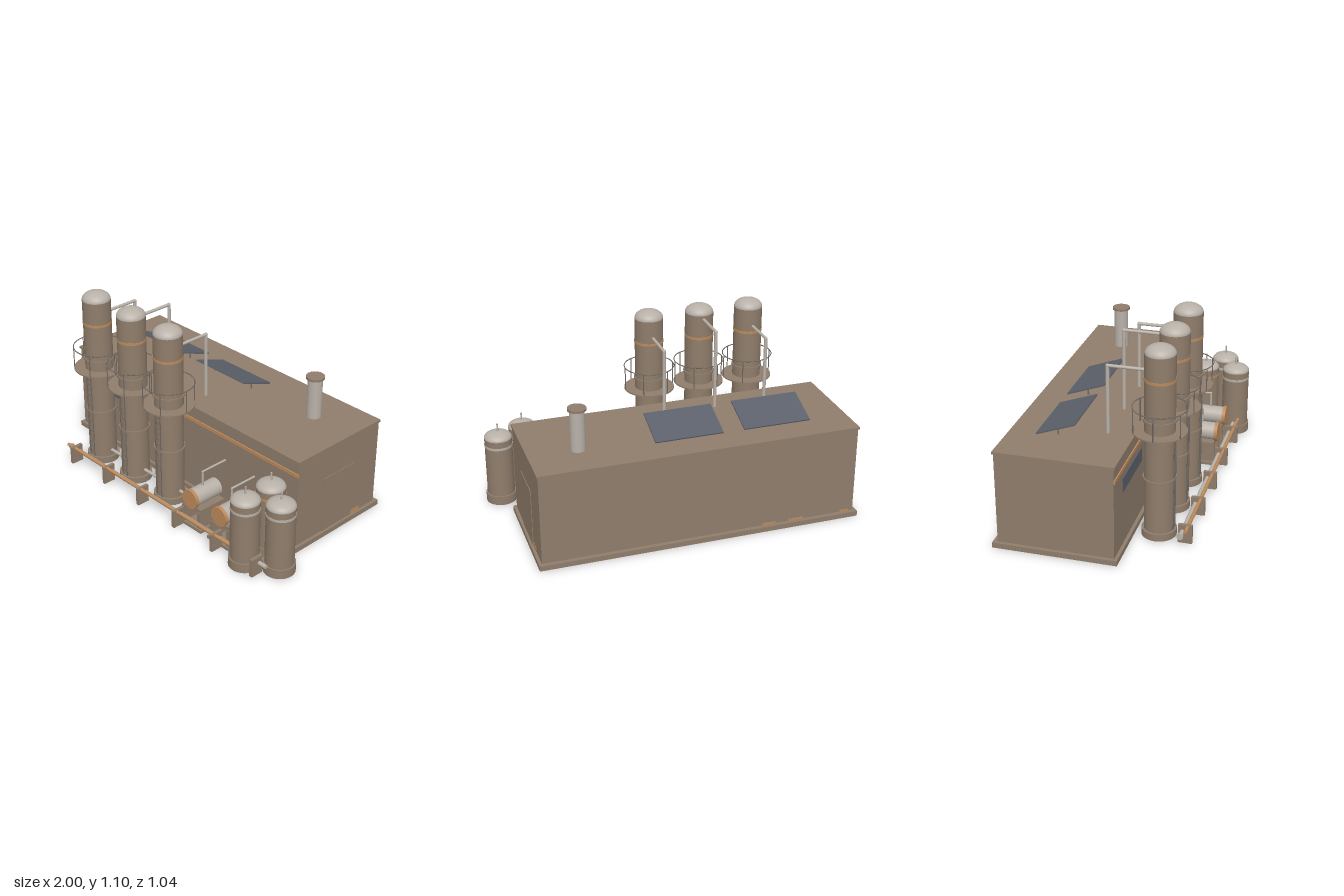
import * as THREE from 'three';

const mat = (name, color, side = THREE.FrontSide) => {
  const m = new THREE.MeshStandardMaterial({ color, side });
  m.name = name;
  return m;
};

export function createModel() {
  const brown = mat('weathered brown', 0x8f7d6b);
  const metal = mat('pale metal', 0xb8b1a8);
  const rust = mat('rust orange', 0xbd8a5a);
  const glass = mat('blue grey glass', 0x5c606a);
  const steel = mat('dark steel', 0x706a64);

  const model = new THREE.Group();
  model.name = 'processingPlant';

  const group = (name, x = 0, z = 0) => {
    const g = new THREE.Group();
    g.name = name;
    g.position.set(x, 0, z);
    model.add(g);
    return g;
  };
  const add = (parent, name, geo, m, x = 0, y = 0, z = 0) => {
    const mesh = new THREE.Mesh(geo, m);
    mesh.name = name;
    mesh.position.set(x, y, z);
    parent.add(mesh);
    return mesh;
  };
  // Box given by its limits on each axis
  const box = (parent, name, m, x0, x1, y0, y1, z0, z1) =>
    add(parent, name, new THREE.BoxGeometry(x1 - x0, y1 - y0, z1 - z0), m,
      (x0 + x1) / 2, (y0 + y1) / 2, (z0 + z1) / 2);
  // Upright cylinder between two heights
  const drum = (parent, name, m, r, y0, y1, x = 0, z = 0, sides = 32) =>
    add(parent, name, new THREE.CylinderGeometry(r, r, y1 - y0, sides), m, x, (y0 + y1) / 2, z);
  // Round bar between two points
  const bar = (parent, name, m, r, a, b, sides = 12) => {
    const from = new THREE.Vector3(...a), to = new THREE.Vector3(...b);
    const dir = to.clone().sub(from);
    const mesh = add(parent, name, new THREE.CylinderGeometry(r, r, dir.length(), sides), m);
    mesh.position.copy(from).add(to).multiplyScalar(0.5);
    mesh.quaternion.setFromUnitVectors(new THREE.Vector3(0, 1, 0), dir.normalize());
    return mesh;
  };
  const dome = (parent, r, h, y) => {
    const geo = new THREE.SphereGeometry(r, 32, 10, 0, Math.PI * 2, 0, Math.PI / 2);
    geo.scale(1, h / r, 1);
    return add(parent, 'dome', geo, metal, 0, y, 0);
  };

  // Building
  const hall = group('building');
  box(hall, 'plinth', brown, -1, 0.875, 0, 0.03, -0.52, 0.167);
  box(hall, 'walls', brown, -0.98, 0.857, 0.03, 0.55, -0.495, 0.148);
  box(hall, 'roof', brown, -0.987, 0.863, 0.55, 0.564, -0.502, 0.155);
  box(hall, 'wallStripe', rust, -0.98, 0.86, 0.466, 0.486, 0.147, 0.155);
  box(hall, 'window', glass, -0.825, -0.457, 0.34, 0.42, 0.146, 0.153);
  box(hall, 'door', brown, 0.854, 0.861, 0.03, 0.37, -0.295, -0.052);

  // Rust patches along the foot of the walls
  for (const [x0, x1, h] of [[0.15, 0.25, 0.025], [0.38, 0.46, 0.03], [-0.25, -0.16, 0.025]])
    box(hall, 'frontRust', rust, x0, x1, 0.03, 0.03 + h, 0.147, 0.15);
  for (const [x0, x1] of [[-0.95, -0.9], [-0.67, -0.58], [-0.5, -0.42]])
    box(hall, 'backRust', rust, x0, x1, 0.03, 0.042, -0.497, -0.494);
  box(hall, 'sideRust', rust, 0.856, 0.859, 0.03, 0.053, -0.37, -0.297);

  // Chimney
  const chimney = group('chimney', 0.58, -0.265);
  drum(chimney, 'stack', metal, 0.042, 0.56, 0.802);
  drum(chimney, 'cap', brown, 0.052, 0.8, 0.814);

  // Tilted roof panels
  for (const x of [-0.552, -0.032]) {
    const g = group('roofPanel', x, -0.237);
    const panel = add(g, 'panel', new THREE.BoxGeometry(0.396, 0.008, 0.229), glass, 0, 0.614, 0);
    panel.rotation.x = -Math.atan2(0.078, 0.216);
    for (const s of [-1, 1]) drum(g, 'panelPost', steel, 0.005, 0.56, 0.612, s * 0.15, 0, 8);
  }

  // Tall columns with platforms, ladders and overhead pipes
  [-0.615, -0.308, 0].forEach((x, i) => {
    const g = group('column', x, 0.292);
    drum(g, 'shell', brown, 0.083, 0.03, 1.05);
    dome(g, 0.083, 0.05, 1.05);
    drum(g, 'foot', brown, 0.096, 0, 0.04);
    drum(g, 'lowerBand', brown, 0.09, 0.34, 0.35);
    drum(g, 'upperBand', brown, 0.09, 0.675, 0.687);
    drum(g, 'rustBand', rust, 0.0855, 0.903, 0.917);

    drum(g, 'platform', brown, 0.147, 0.611, 0.619);
    const rail = add(g, 'handrail', new THREE.TorusGeometry(0.146, 0.003, 6, 40), steel, 0, 0.752, 0);
    rail.rotation.x = Math.PI / 2;
    for (let k = 0; k < 6; k++) {
      const a = k * Math.PI / 3;
      drum(g, 'railPost', steel, 0.003, 0.615, 0.752, 0.146 * Math.cos(a), 0.146 * Math.sin(a), 6);
    }

    for (const s of [-1, 1]) drum(g, 'ladderRail', steel, 0.003, 0.04, 0.612, s * 0.019, 0.083, 6);
    for (let y = 0.07; y < 0.6; y += 0.035)
      bar(g, 'ladderRung', steel, 0.002, [-0.019, y, 0.084], [0.019, y, 0.084], 6);

    const top = i === 1 ? 1.028 : 0.95;
    bar(g, 'overheadPipe', metal, 0.009, [0, top, -0.07], [0, top, -0.282]);
    bar(g, 'downPipe', metal, 0.01, [0, top, -0.282], [0, 0.56, -0.282]);
    add(g, 'pipeElbow', new THREE.SphereGeometry(0.0105, 12, 8), metal, 0, top, -0.282);
  });

  // Header pipe linking columns and pumps
  bar(model, 'headerPipe', metal, 0.01, [-0.615, 0.075, 0.29], [0.3, 0.075, 0.29]);

  // Pump sets
  for (const x of [0.305, 0.535]) {
    const g = group('pump', x, 0.32);
    box(g, 'basePlate', brown, -0.09, 0.09, 0, 0.018, -0.1, 0.1);
    for (const s of [-1, 1]) {
      box(g, 'leg', brown, s * 0.062 - 0.012, s * 0.062 + 0.012, 0.018, 0.12, -0.09, 0.09);
    }
    box(g, 'bed', brown, -0.076, 0.076, 0.118, 0.14, -0.095, 0.085);
    bar(g, 'body', metal, 0.052, [0, 0.185, -0.1], [0, 0.185, 0.085], 28);
    bar(g, 'endCap', rust, 0.058, [0, 0.185, 0.08], [0, 0.185, 0.1], 28);
    bar(g, 'riser', metal, 0.006, [0, 0.23, 0], [0, 0.324, 0]);
    bar(g, 'wallPipe', metal, 0.006, [0, 0.324, 0], [0, 0.324, -0.173]);
    add(g, 'pipeElbow', new THREE.SphereGeometry(0.0065, 10, 8), metal, 0, 0.324, 0);
  }

  // Storage tanks
  for (const [x, z, band] of [[0.748, 0.24, rust], [0.91, 0.331, metal], [0.748, 0.43, metal]]) {
    const g = group('tank', x, z);
    drum(g, 'shell', brown, 0.08, 0.03, 0.405);
    drum(g, 'foot', brown, 0.0885, 0, 0.054);
    drum(g, 'band', band, 0.082, 0.353, 0.367);
    dome(g, 0.081, 0.04, 0.405);
    drum(g, 'nozzle', metal, 0.005, 0.43, 0.49, 0, 0, 10);
  }

  // Pipe rack along the front
  const rack = group('pipeRack');
  for (let i = 0; i < 6; i++) {
    const x = -0.675 + i * 0.306;
    box(rack, 'support', brown, x - 0.01, x + 0.01, 0, 0.108, 0.413, 0.49);
  }
  bar(rack, 'metalPipe', metal, 0.012, [-0.74, 0.07, 0.437], [0.915, 0.07, 0.437], 16);
  bar(rack, 'rustPipe', rust, 0.01, [-0.735, 0.098, 0.465], [0.69, 0.098, 0.465], 16);
  bar(rack, 'endFlange', metal, 0.018, [-0.745, 0.07, 0.437], [-0.732, 0.07, 0.437], 16);

  return model;
}
